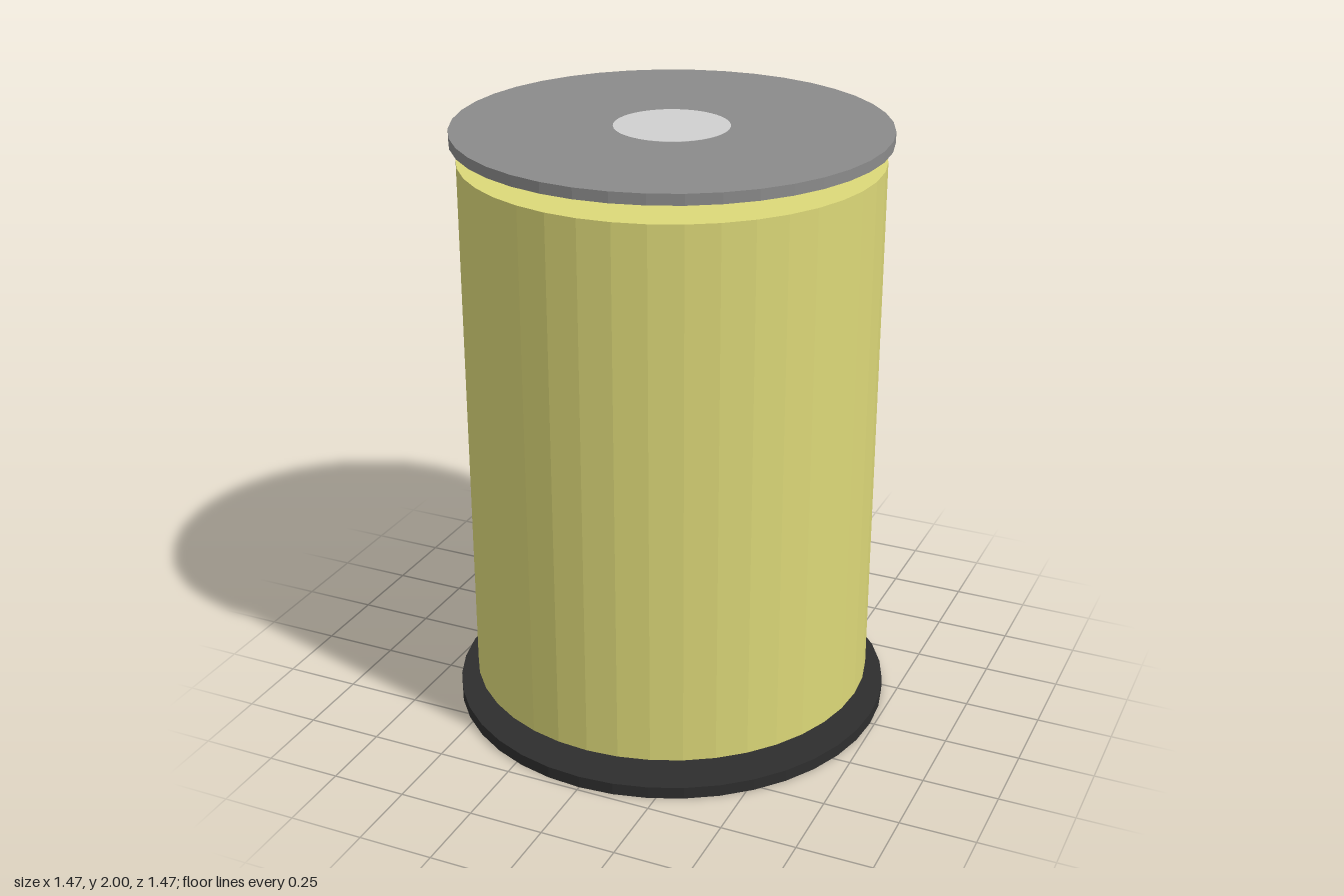
import * as THREE from 'three';

const SIDES = 40;

function material(name, color) {
  const m = new THREE.MeshStandardMaterial({ color });
  m.name = name;
  return m;
}

// Faceted disc or cylinder standing between two heights.
function drum(name, radius, bottom, top, mat) {
  const geometry = new THREE.CylinderGeometry(radius, radius, top - bottom, SIDES).toNonIndexed();
  geometry.computeVertexNormals();
  const mesh = new THREE.Mesh(geometry, mat);
  mesh.name = name;
  mesh.position.y = (top + bottom) / 2;
  return mesh;
}

export function createModel() {
  const black = material('black', 0x2e2e2e);
  const grey = material('grey', 0x8b8b8b);
  const silver = material('silver', 0xd0d0d0);
  const yellow = material('yellow', 0xdcd878);

  const model = new THREE.Group();
  model.name = 'spool';
  model.add(
    drum('basePlate', 0.735, 0, 0.04, black),
    drum('topPlate', 0.695, 1.964, 1.999, grey),
    // the core runs through both gaps and shows in the top plate
    drum('core', 0.184, 0.002, 2, silver),
    drum('winding', 0.675, 0.104, 1.902, yellow),
  );
  return model;
}
